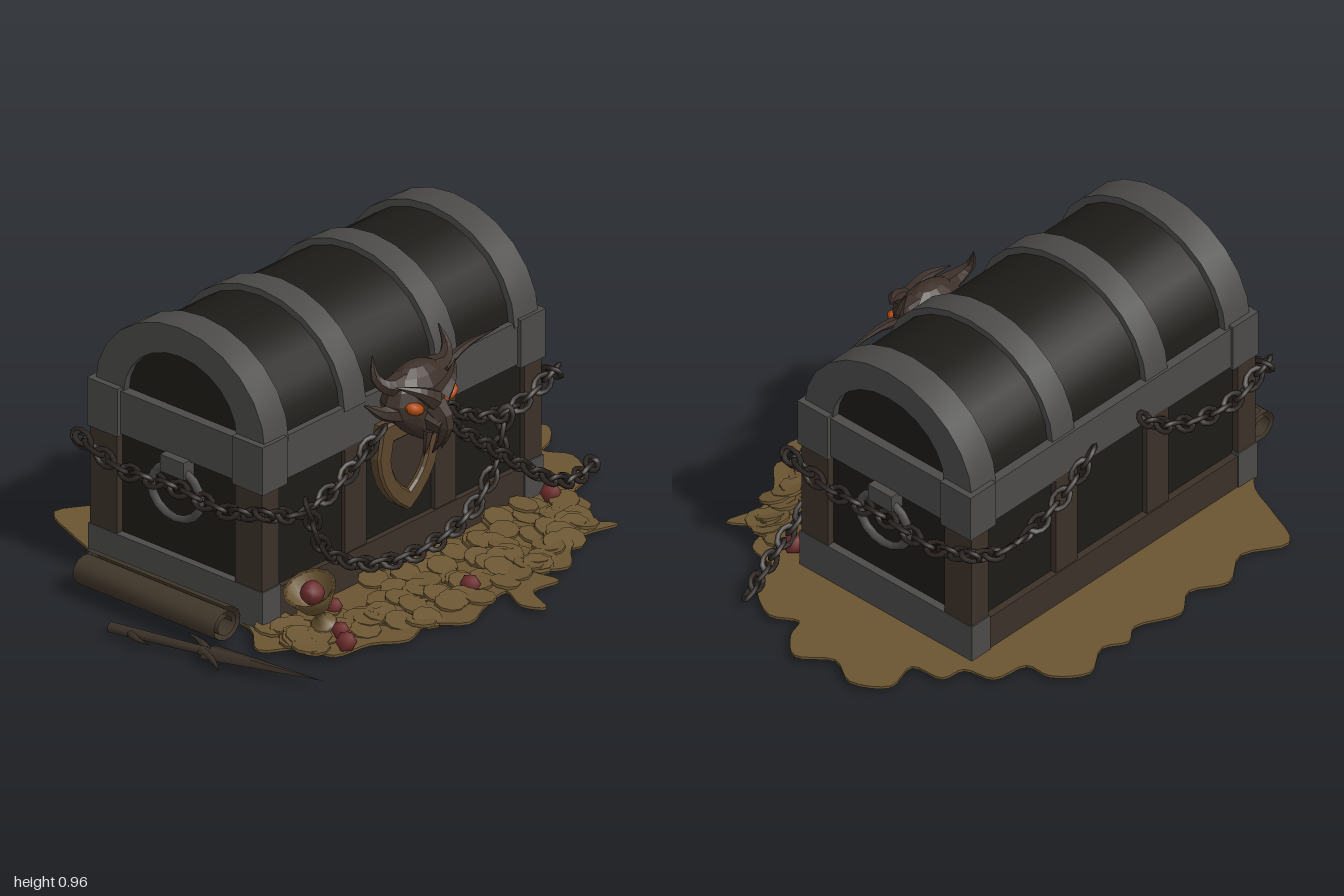
import * as THREE from 'three';
import { mergeGeometries, toCreasedNormals } from 'three/addons/utils/BufferGeometryUtils.js';

const V = (x, y, z) => new THREE.Vector3(x, y, z);
const mat = (color, extra = {}) => new THREE.MeshStandardMaterial({ color, ...extra });
const CX = -0.025, CZ = -0.115; // chest centre

export function createModel() {
  const root = new THREE.Group();
  const wood = mat(0x1d1b17), iron = mat(0x4b4a49), bronze = mat(0x3b3128);
  const chainMat = mat(0x2a2420), gold = mat(0x6a5532), red = mat(0x6a2a2a);
  const bone = mat(0x3d3029, { flatShading: true }), glow = mat(0xb04a12), trim = mat(0x5a452c);

  const add = (name, geo, m, parent = root) => {
    const mesh = new THREE.Mesh(geo, m);
    mesh.name = name;
    parent.add(mesh);
    return mesh;
  };
  const box = (name, x0, x1, y0, y1, z0, z1, m) =>
    add(name, new THREE.BoxGeometry(x1 - x0, y1 - y0, z1 - z0)
      .translate((x0 + x1) / 2, (y0 + y1) / 2, (z0 + z1) / 2), m);

  // Lid arch outline, and its extrusion along x
  const archPoints = (a, b, y0 = 0.63, n = 12) => {
    const pts = [];
    for (let i = 0; i <= n; i++) {
      const t = Math.PI * i / n;
      pts.push(new THREE.Vector2(-CZ + a * Math.cos(t), y0 + b * Math.sin(t)));
    }
    return pts;
  };
  const arch = (name, x0, x1, a, b, m, hole) => {
    const shape = new THREE.Shape(archPoints(a, b));
    if (hole) shape.holes.push(new THREE.Path(archPoints(hole[0], hole[1], 0.635)));
    const geo = new THREE.ExtrudeGeometry(shape, { depth: x1 - x0, bevelEnabled: false });
    geo.rotateY(Math.PI / 2).translate(x0, 0, 0);
    return add(name, toCreasedNormals(geo, 0.5), m);
  };

  // Chest body
  box('body', CX - 0.63, CX + 0.63, 0.02, 0.52, -0.46, 0.225, wood);
  box('baseTrim', CX - 0.65, CX + 0.65, 0.005, 0.13, -0.485, 0.245, bronze);
  for (const s of [-1, 1]) {
    const x = CX + s * 0.615;
    box('baseEndPlate', x - 0.043, x + 0.043, 0.005, 0.142, -0.49, 0.25, iron);
    for (const [z0, z1] of [[-0.485, -0.37], [0.13, 0.245]])
      box('cornerPost', x - 0.04, x + 0.04, 0.13, 0.5, z0, z1, bronze);
    box('frontPost', CX + s * 0.21 - 0.05, CX + s * 0.21 + 0.05, 0.13, 0.5, -0.48, 0.24, bronze);
  }

  // Rim between body and lid
  box('rim', CX - 0.65, CX + 0.65, 0.495, 0.645, -0.48, 0.24, iron);
  for (const s of [-1, 1])
    for (const z of [-0.425, 0.19])
      box('rimCorner', CX + s * 0.605 - 0.058, CX + s * 0.605 + 0.058, 0.487, 0.655, z - 0.065, z + 0.065, iron);

  // Arched lid with iron bands
  arch('lid', CX - 0.615, CX + 0.615, 0.335, 0.29, wood);
  for (const s of [-1, 1]) {
    const x = CX + s * 0.585, xi = CX + s * 0.215;
    arch('endBand', x - 0.056, x + 0.056, 0.36, 0.315, iron, [0.24, 0.21]);
    arch('middleBand', xi - 0.05, xi + 0.05, 0.358, 0.313, iron);
  }

  // Ring handles
  for (const s of [-1, 1]) {
    const ring = add('ringHandle', new THREE.TorusGeometry(0.095, 0.014, 6, 16), iron);
    ring.rotation.set(0, Math.PI / 2, 0);
    ring.position.set(CX + s * 0.66, 0.375, CZ);
    ring.scale.set(1.1, 0.95, 1);
    box('handleMount', CX + s * 0.65 - 0.03, CX + s * 0.65 + 0.03, 0.44, 0.5, CZ - 0.05, CZ + 0.05, iron);
  }

  // Chains: links alternate by a quarter turn along a curve
  const chain = (name, pts) => {
    const curve = new THREE.CatmullRomCurve3(pts.map(p => V(...p)));
    const n = Math.round(curve.getLength() / 0.052), links = [];
    for (let i = 0; i <= n; i++) {
      const g = new THREE.TorusGeometry(0.024, 0.0085, 5, 10).scale(1.55, 1, 1).rotateX(i % 2 ? 0.75 : -0.8);
      g.applyQuaternion(new THREE.Quaternion().setFromUnitVectors(V(1, 0, 0), curve.getTangentAt(i / n)));
      const p = curve.getPointAt(i / n);
      links.push(g.translate(p.x, p.y, p.z));
    }
    add(name, mergeGeometries(links), chainMat);
  };
  for (const s of [-1, 1]) {
    const X = x => CX + s * x;
    chain('frontChain', [[X(0.15), 0.52, 0.28], [X(0.3), 0.42, 0.27], [X(0.46), 0.37, 0.27], [X(0.6), 0.4, 0.275], [X(0.675), 0.43, 0.27]]);
    chain('sideChain', [[X(0.675), 0.43, 0.27], [X(0.675), 0.39, 0.12], [X(0.675), 0.4, -0.12], [X(0.675), 0.39, -0.34], [X(0.675), 0.44, -0.5]]);
    chain('backChain', [[X(0.675), 0.44, -0.5], [X(0.55), 0.39, -0.51], [X(0.36), 0.4, -0.505], [X(0.2), 0.47, -0.5], [X(0.13), 0.53, -0.5]]);
  }
  chain('hangingChain', [[-0.5, 0.38, 0.28], [-0.43, 0.22, 0.28], [-0.28, 0.11, 0.29], [-0.02, 0.06, 0.31], [0.25, 0.1, 0.29], [0.37, 0.21, 0.28], [0.42, 0.36, 0.28]]);
  chain('looseChain', [[0.1, 0.48, 0.3], [0.25, 0.36, 0.31], [0.42, 0.22, 0.31], [0.6, 0.09, 0.32], [0.72, 0.04, 0.3], [0.86, 0.025, 0.25]]);

  // Shield-shaped lock plate
  const shield = k => {
    const s = new THREE.Shape();
    s.moveTo(0, -0.16 * k);
    s.quadraticCurveTo(0.13 * k, -0.08 * k, 0.14 * k, 0.06 * k);
    s.lineTo(0.12 * k, 0.16 * k).lineTo(-0.12 * k, 0.16 * k).lineTo(-0.14 * k, 0.06 * k);
    s.quadraticCurveTo(-0.13 * k, -0.08 * k, 0, -0.16 * k);
    return s;
  };
  const border = shield(1);
  border.holes.push(new THREE.Path(shield(0.66).getPoints(4)));
  const bevel = { depth: 0.03, bevelSize: 0.008, bevelThickness: 0.008, bevelSegments: 1, curveSegments: 5 };
  add('lockBorder', new THREE.ExtrudeGeometry(border, bevel), trim).position.set(-0.02, 0.365, 0.24);
  add('lockPlate', new THREE.ExtrudeGeometry(shield(0.75), { ...bevel, depth: 0.012 }), bronze).position.set(-0.02, 0.365, 0.24);

  // Tapered tube for horns and spikes
  const horn = (name, pts, r, m, parent) => {
    const curve = new THREE.CatmullRomCurve3(pts.map(p => V(...p)));
    const seg = 8, rad = 6, g = new THREE.TubeGeometry(curve, seg, r, rad), a = g.attributes.position;
    for (let i = 0; i < a.count; i++) {
      const t = Math.floor(i / (rad + 1)) / seg, c = curve.getPointAt(t);
      const v = V(0, 0, 0).fromBufferAttribute(a, i).sub(c).multiplyScalar(1 - 0.95 * t).add(c);
      a.setXYZ(i, v.x, v.y, v.z);
    }
    return add(name, g, m, parent);
  };

  // Horned beast head: a sphere pulled into a muzzle
  const head = new THREE.Group();
  head.name = 'beastHead';
  head.position.set(-0.02, 0.6, 0.3);
  root.add(head);
  const skull = new THREE.SphereGeometry(1, 12, 9), sp = skull.attributes.position;
  for (let i = 0; i < sp.count; i++) {
    const x = sp.getX(i), y = sp.getY(i), z = sp.getZ(i), low = Math.max(0, -y);
    sp.setXYZ(i, x * 0.145 * (1 - 0.55 * low), y * 0.13, z * 0.085 + low * 0.03 * (z > 0 ? 1 : 0));
  }
  add('skull', skull, bone, head);
  const muzzle = add('muzzle', new THREE.CylinderGeometry(0.035, 0.075, 0.14, 7), bone, head);
  muzzle.position.set(0, -0.035, 0.06);
  muzzle.rotation.x = 1.85;
  horn('beak', [[0, 0.0, 0.08], [0, -0.04, 0.125], [0, -0.1, 0.11], [0, -0.17, 0.07]], 0.042, bone, head);
  for (const s of [-1, 1]) {
    horn('horn', [[s * 0.07, 0.08, 0], [s * 0.13, 0.085, 0.0], [s * 0.165, 0.12, -0.02], [s * 0.155, 0.19, -0.045]], 0.04, bone, head);
    horn('brow', [[s * 0.015, 0.03, 0.09], [s * 0.07, 0.07, 0.085], [s * 0.14, 0.1, 0.04]], 0.035, bone, head);
    horn('cheekSpike', [[s * 0.08, -0.01, 0.02], [s * 0.15, 0.0, 0.0], [s * 0.21, 0.04, -0.03]], 0.045, bone, head);
    horn('fang', [[s * 0.04, -0.07, 0.09], [s * 0.05, -0.12, 0.09], [s * 0.04, -0.17, 0.07]], 0.018, bone, head);
    const eye = add('eye', new THREE.SphereGeometry(0.03, 8, 6), glow, head);
    eye.position.set(s * 0.08, 0.012, 0.068);
    eye.scale.set(1.3, 0.7, 0.8);
    eye.rotation.z = s * 0.4;
  }
  horn('sideSpike', [[0.1, 0.05, 0], [0.24, 0.09, -0.01], [0.41, 0.09, -0.02]], 0.022, bone, head);

  // Scalloped treasure sheet on the ground: x, z pairs
  const rim = [
    -0.58, -0.65, -0.5, -0.8, -0.35, -0.73, -0.22, -0.8, -0.1, -0.74, 0, -0.8, 0.15, -0.74, 0.22, -0.78, 0.3, -0.74,
    0.42, -0.8, 0.52, -0.72, 0.53, -0.63, 0.65, -0.6, 0.68, -0.5, 0.76, -0.48, 0.78, -0.37, 0.9, -0.39, 0.97, -0.28,
    0.92, -0.17, 0.99, -0.06, 0.92, 0.02, 0.85, 0.05, 0.89, 0.14, 0.8, 0.28, 0.7, 0.32, 0.67, 0.42, 0.57, 0.46,
    0.63, 0.57, 0.5, 0.54, 0.4, 0.58, 0.3, 0.66, 0.2, 0.6, 0.21, 0.7, 0.1, 0.69, 0.04, 0.8, 0.0, 0.73, 0.04, 0.63,
    -0.08, 0.65, -0.2, 0.69, -0.3, 0.6, -0.42, 0.63, -0.52, 0.56, -0.66, 0.53, -0.68, 0.42, -0.79, 0.33, -0.69, 0.2,
    -0.69, -0.1, -0.7, -0.36, -0.72, -0.43, -0.63, -0.53];
  const loop = [];
  for (let i = 0; i < rim.length; i += 2) loop.push(V(rim[i], -rim[i + 1], 0));
  const outline = new THREE.CatmullRomCurve3(loop, true).getPoints(200);
  const sheet = new THREE.Shape(outline.map(p => new THREE.Vector2(p.x, p.y)));
  add('treasureSheet', new THREE.ExtrudeGeometry(sheet, { depth: 0.009, bevelEnabled: false }).rotateX(-Math.PI / 2), gold);

  // Scattered coins and gems heaped against the front
  let seed = 7;
  const rnd = () => (seed = (seed * 16807) % 2147483647) / 2147483647;
  const coins = [];
  for (let i = 0; i < 120; i++) {
    const x = -0.68 + 1.3 * rnd(), t = rnd(), z = 0.27 + t * (0.34 - 0.35 * x * x);
    const g = new THREE.CylinderGeometry(0.05, 0.05, 0.01, 9);
    g.rotateX(0.3 * rnd()).rotateZ(0.3 * (rnd() - 0.5));
    coins.push(g.translate(x, 0.014 + 0.03 * (1 - t) * rnd(), z));
  }
  add('coins', mergeGeometries(coins), gold);
  for (const [x, y, z, r] of [[-0.6, 0.035, 0.53, 0.035], [-0.56, 0.04, 0.47, 0.03], [-0.02, 0.02, 0.53, 0.035], [0.6, 0.04, 0.31, 0.035], [-0.45, 0.04, 0.34, 0.03]])
    add('gem', new THREE.OctahedronGeometry(r, 1), red).position.set(x, y, z);

  // Leaning goblet
  const cup = [[0.001, 0], [0.045, 0], [0.04, 0.012], [0.014, 0.03], [0.018, 0.06], [0.05, 0.09], [0.07, 0.13], [0.088, 0.165], [0.074, 0.16], [0.04, 0.09], [0.001, 0.075]];
  const goblet = add('goblet', new THREE.LatheGeometry(cup.map(p => new THREE.Vector2(...p)), 12), mat(0x6a5532, { side: THREE.DoubleSide }));
  goblet.position.set(-0.555, 0.035, 0.395);
  goblet.rotation.z = 0.42;
  add('gobletJewel', new THREE.SphereGeometry(0.04, 8, 6), red).position.set(-0.61, 0.165, 0.395);

  // Rolled parchment: a spiral strip swept along z
  const spiral = [];
  for (let i = 0; i <= 30; i++) {
    const t = i / 30, a = t * Math.PI * 4.5, r = 0.025 + 0.037 * t;
    spiral.push([r * Math.cos(a), r * Math.sin(a)]);
  }
  const roll = new THREE.PlaneGeometry(1, 0.6, 30, 1), rp = roll.attributes.position;
  for (let i = 0; i < rp.count; i++) {
    const [x, y] = spiral[i % 31];
    rp.setXYZ(i, x * 1.15, y, i < 31 ? 0.3 : -0.3);
  }
  roll.computeVertexNormals();
  add('scroll', roll, mat(0x40362a, { side: THREE.DoubleSide })).position.set(-0.82, 0.072, -0.08);

  // Dagger lying beside the scroll
  const dagger = new THREE.Group();
  dagger.name = 'dagger';
  dagger.position.set(-0.92, 0.018, 0.23);
  dagger.rotation.y = 0.22;
  root.add(dagger);
  const blade = new THREE.ConeGeometry(0.055, 0.42, 4).rotateX(Math.PI / 2).scale(1, 0.25, 1).translate(0, 0, 0.21);
  add('blade', blade, bronze, dagger);
  add('grip', new THREE.CylinderGeometry(0.016, 0.02, 0.36, 6).rotateX(Math.PI / 2).translate(0, 0, -0.17), bronze, dagger);
  horn('guard', [[0, 0, -0.02], [-0.05, 0, 0.05], [-0.1, 0, 0.1]], 0.018, bronze, dagger);
  horn('guard', [[0, 0, 0.0], [0.05, 0, -0.05], [0.09, 0, -0.12]], 0.018, bronze, dagger);
  horn('pommelSpike', [[0, 0, -0.28], [-0.03, 0, -0.24], [-0.05, 0, -0.18]], 0.016, bronze, dagger);
  return root;
}
